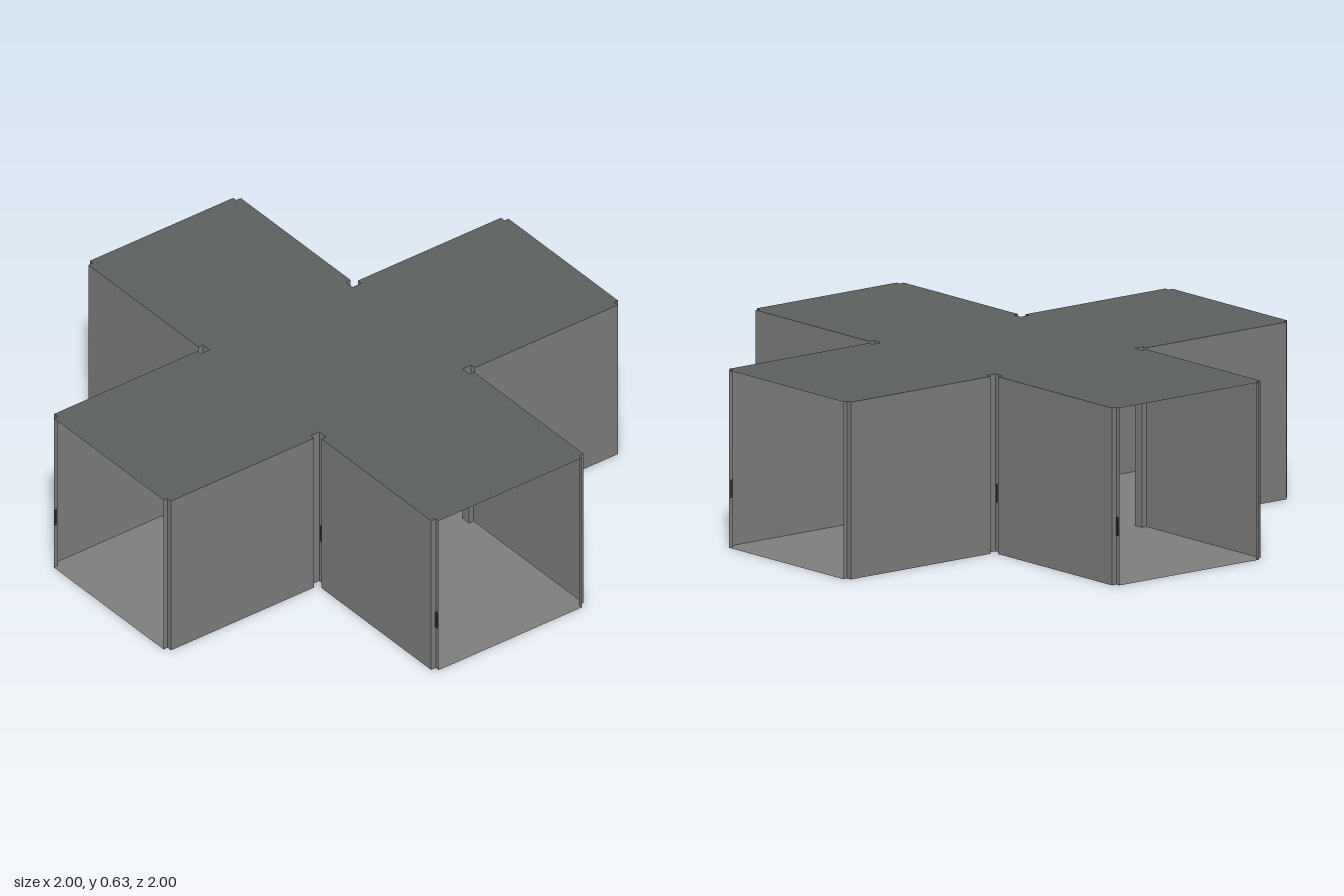
import * as THREE from 'three';

const HEIGHT = 0.635;
const INNER = 0.315; // half width at the open ends and inner corners
const OUTER = 0.335; // half width along the wall panels

export function createModel() {
  const make = (name, color) => {
    const m = new THREE.MeshStandardMaterial({ color, side: THREE.DoubleSide });
    m.name = name;
    return m;
  };
  const wallGrey = make('wallGrey', 0x808080);
  const roofGrey = make('roofGrey', 0x5d6160);
  const fittingDark = make('fittingDark', 0x333536);

  const group = new THREE.Group();
  group.name = 'crossCorridor';
  const add = (name, geometry, material, parent = group) => {
    const mesh = new THREE.Mesh(geometry, material);
    mesh.name = name;
    parent.add(mesh);
    return mesh;
  };

  // One side of an arm, from the open end to the inner corner: [across, along]
  const side = [
    [INNER, 1], [INNER, 0.983], [OUTER, 0.983],
    [OUTER, 0.353], [INNER, 0.353], [INNER, INNER],
  ];
  // Quarter outline: down one arm's side, then out along the next arm
  const quarter = [...side, ...side.slice(0, -1).reverse().map(([a, b]) => [b, a])];

  // Floor and roof share the full cross outline
  const outline = [];
  for (let i = 0; i < 4; i++) {
    const c = Math.round(Math.cos(i * Math.PI / 2));
    const s = Math.round(Math.sin(i * Math.PI / 2));
    for (const [x, y] of quarter) {
      // Turned clockwise so that each quarter continues at the next arm
      outline.push(new THREE.Vector2(x * c + y * s, -x * s + y * c));
    }
  }
  const slab = new THREE.ShapeGeometry(new THREE.Shape(outline)).rotateX(-Math.PI / 2);
  add('floor', slab, wallGrey);
  add('roof', slab.clone(), roofGrey).position.y = HEIGHT;

  // Four identical corner walls, each folded along the quarter outline
  for (let i = 0; i < 4; i++) {
    const corner = new THREE.Group();
    corner.name = 'cornerWall' + (i + 1);
    corner.rotation.y = i * Math.PI / 2;
    group.add(corner);
    for (let k = 0; k < quarter.length - 1; k++) {
      const [x0, z0] = quarter[k];
      const [x1, z1] = quarter[k + 1];
      const panel = new THREE.PlaneGeometry(Math.hypot(x1 - x0, z1 - z0), HEIGHT);
      panel.rotateY(Math.atan2(z0 - z1, x1 - x0));
      panel.translate((x0 + x1) / 2, HEIGHT / 2, (z0 + z1) / 2);
      add('wallPanel', panel, wallGrey, corner);
    }
    // Small dark fittings beside the open end and in the inner corner
    for (const x of [0.991, 0.33]) {
      const fitting = add('fitting', new THREE.BoxGeometry(0.01, 0.065, 0.006), fittingDark, corner);
      fitting.position.set(x, 0.21, INNER + 0.002);
    }
  }
  return group;
}
